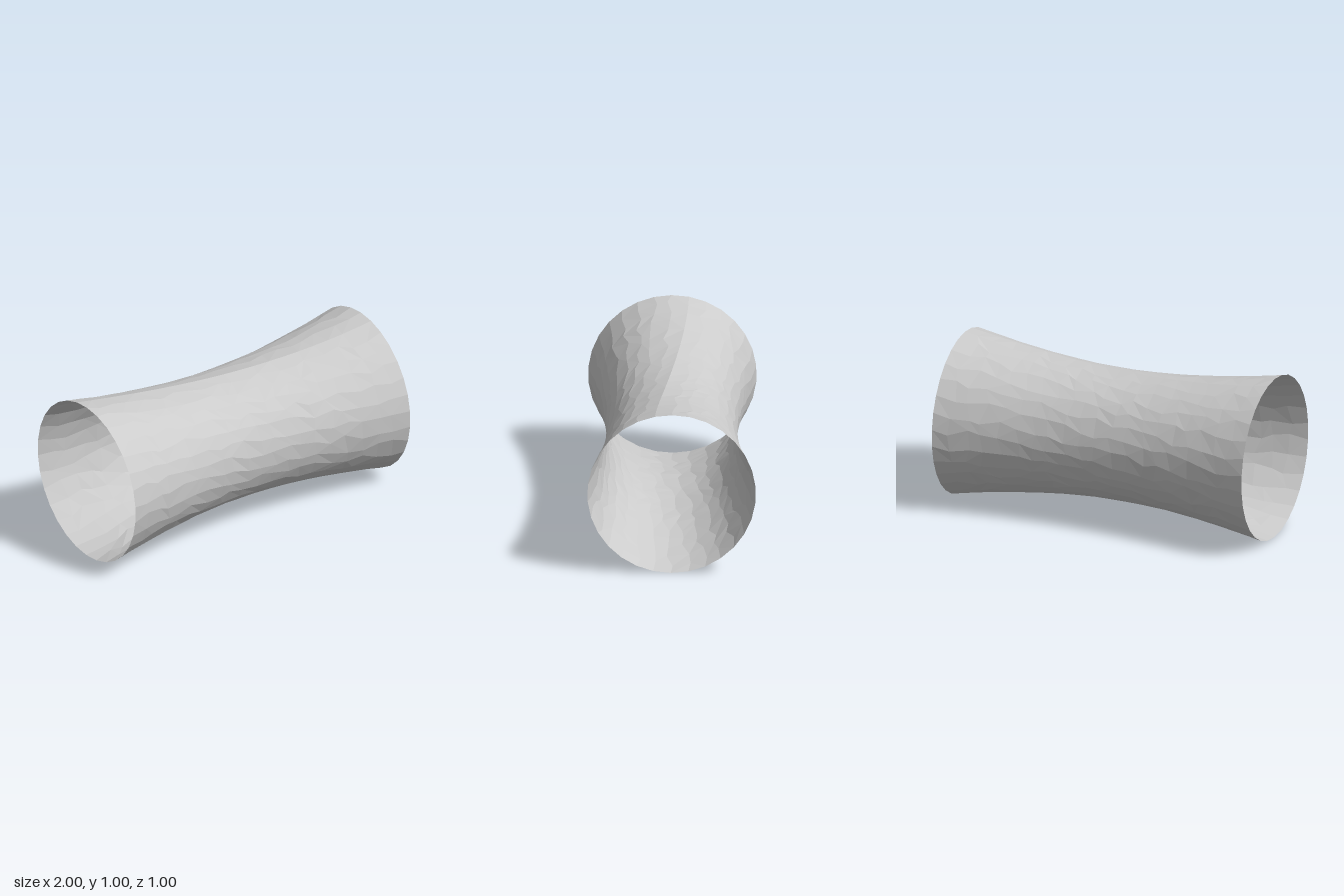
import * as THREE from 'three';

const RINGS = 20, SIDES = 30;

// Small seeded generator, returns -1..1
function seeded(seed) {
  let s = seed;
  return () => {
    s = (s * 16807) % 2147483647;
    return (s / 2147483647) * 2 - 1;
  };
}

// Point on the waisted tube: x along the axis, a = angle past the seam
function surfacePoint(x, a) {
  const fromSeam = Math.min(a, 2 * Math.PI - a);
  const ridge = 0.015 * (1 - x * x) * Math.exp(-fromSeam / 0.2);
  const r = Math.sqrt(0.39 ** 2 + (0.5 ** 2 - 0.39 ** 2) * x * x) + ridge;
  const theta = a + 0.2 * Math.sin((x * Math.PI) / 2);
  return [x, 0.5 + r * Math.cos(theta), r * Math.sin(theta)];
}

// Open faceted tube, its grid slightly irregular except at the seam and rims
function tubeGeometry() {
  const rand = seeded(7);
  const positions = [], index = [];
  const dx = 2 / RINGS, da = (2 * Math.PI) / SIDES;
  for (let i = 0; i <= RINGS; i++) {
    for (let j = 0; j < SIDES; j++) {
      const rim = i === 0 || i === RINGS;
      const jx = rim || j === 0 ? 0 : rand() * 0.27 * dx;
      const ja = rim || j === 0 ? 0 : rand() * 0.27 * da;
      positions.push(...surfacePoint(-1 + i * dx + jx, j * da + ja));
    }
  }
  for (let i = 0; i < RINGS; i++) {
    for (let j = 0; j < SIDES; j++) {
      const k = (j + 1) % SIDES;
      const a = i * SIDES + j, b = i * SIDES + k;
      const c = a + SIDES, d = b + SIDES;
      if (rand() > 0) index.push(a, b, c, b, d, c);
      else index.push(a, b, d, a, d, c);
    }
  }
  const geometry = new THREE.BufferGeometry();
  geometry.setAttribute('position', new THREE.Float32BufferAttribute(positions, 3));
  geometry.setIndex(index);
  geometry.computeVertexNormals();
  return geometry;
}

export function createModel() {
  const group = new THREE.Group();
  group.name = 'waistedTube';
  const material = new THREE.MeshStandardMaterial({
    color: 0xcccccc, flatShading: true, side: THREE.DoubleSide,
  });
  const wall = new THREE.Mesh(tubeGeometry(), material);
  wall.name = 'tubeWall';
  group.add(wall);
  return group;
}
